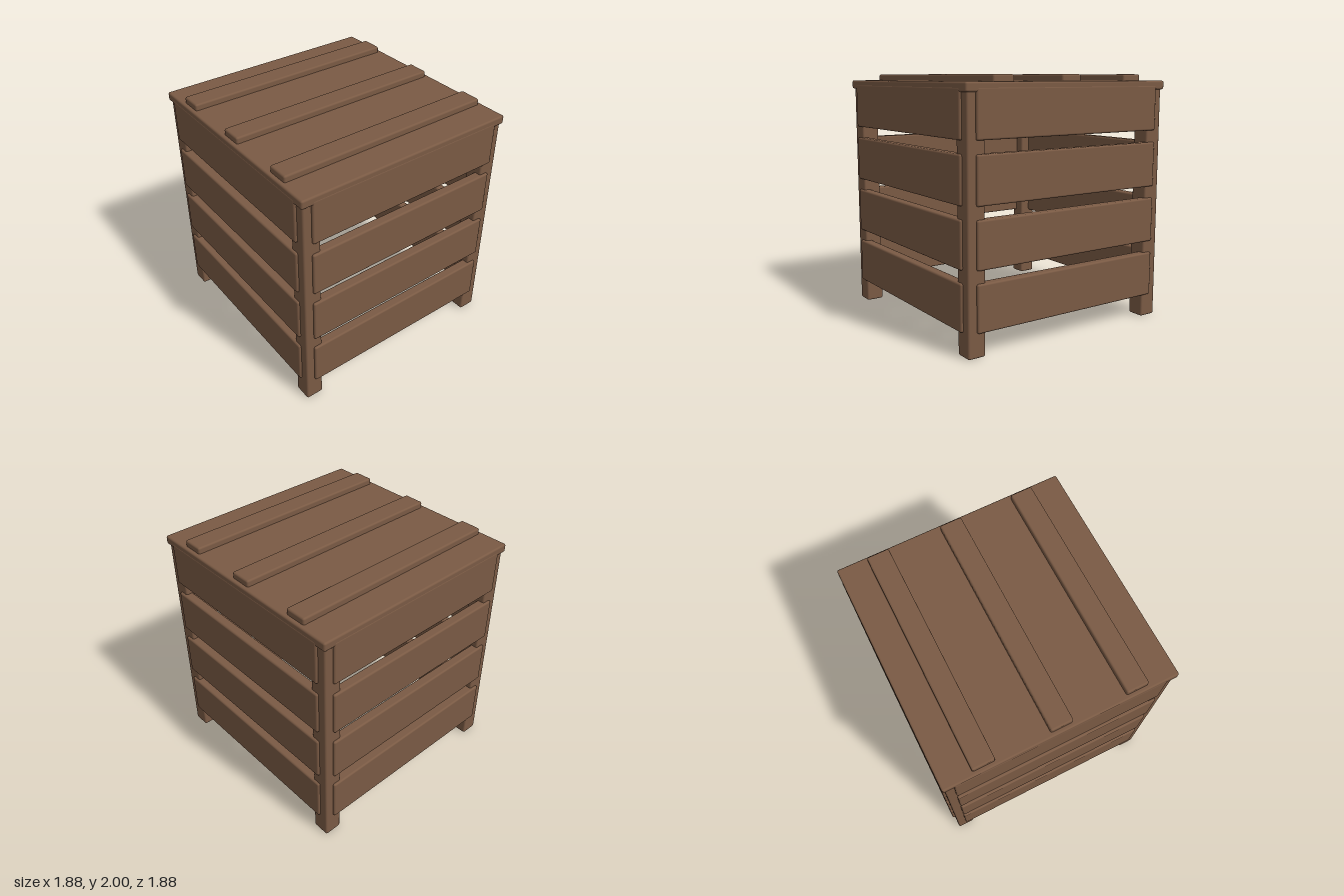
import * as THREE from 'three';
import { RoundedBoxGeometry } from 'three/addons/geometries/RoundedBoxGeometry.js';

const wood = new THREE.MeshStandardMaterial({ color: 0x7a5a44 });

// Softly bevelled board spanning y0..y1, centred on x, z
function board(name, parent, width, y0, y1, depth, x = 0, z = 0, radius = 0.015) {
  const mesh = new THREE.Mesh(new RoundedBoxGeometry(width, y1 - y0, depth, 2, radius), wood);
  mesh.name = name;
  mesh.position.set(x, (y0 + y1) / 2, z);
  parent.add(mesh);
  return mesh;
}

export function createModel() {
  const crate = new THREE.Group();
  crate.name = 'slattedCrate';

  // Corner posts
  for (const sx of [-1, 1]) {
    for (const sz of [-1, 1]) {
      board('cornerPost', crate, 0.145, 0.005, 1.91, 0.145, sx * 0.847, sz * 0.847);
    }
  }

  // Four identical sides of four slats each
  ['frontSide', 'leftSide', 'backSide', 'rightSide'].forEach((name, i) => {
    const side = new THREE.Group();
    side.name = name;
    for (let row = 0; row < 4; row++) {
      const y = 0.19 + row * 0.455;
      board('slat', side, 1.7, y, y + 0.36, 0.08, 0, 0.899);
    }
    side.rotation.y = i * Math.PI / 2;
    crate.add(side);
  });

  // Lid panel
  board('lid', crate, 1.874, 1.88, 1.95, 1.874, 0, 0);

  // Battens across the lid
  for (const z of [-0.607, 0, 0.607]) {
    board('lidBatten', crate, 1.81, 1.92, 2.0, 0.178, 0, z);
  }

  return crate;
}
